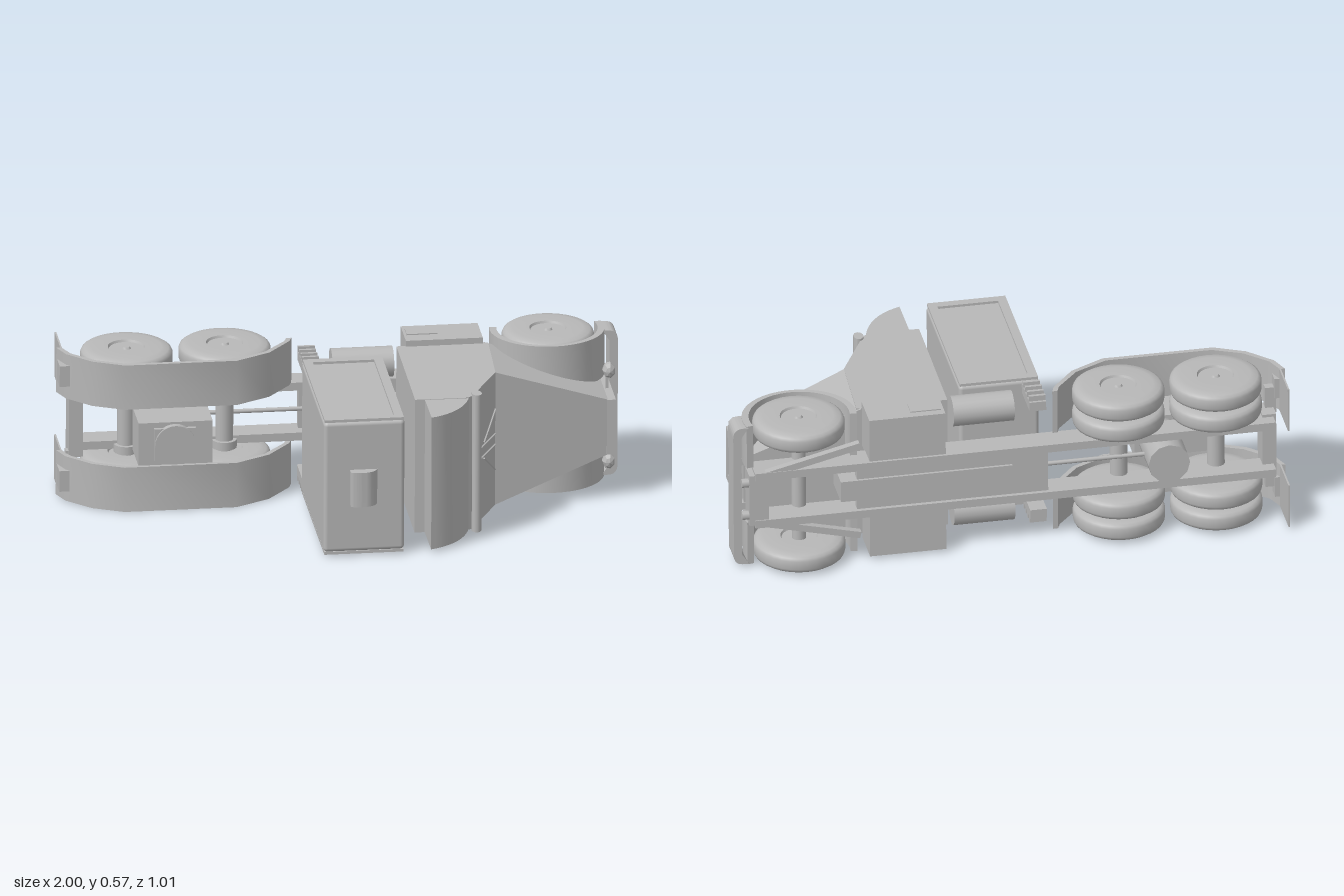
import * as THREE from 'three';
import { toCreasedNormals } from 'three/addons/utils/BufferGeometryUtils.js';
import { RoundedBoxGeometry } from 'three/addons/geometries/RoundedBoxGeometry.js';

const grey = new THREE.MeshStandardMaterial({ color: 0xb8b8b8 });
grey.name = 'plain grey';

// The truck is built upright (x forward, y up, z to its right) around axle height.
export function createModel() {
  const root = new THREE.Group();
  const truck = new THREE.Group();
  truck.name = 'truckOnItsSide';
  root.add(truck);

  const add = (name, geo, x = 0, y = 0, z = 0) => {
    const m = new THREE.Mesh(geo, grey);
    m.name = name;
    m.position.set(x, y, z);
    truck.add(m);
    return m;
  };
  // box from its limits
  const box = (name, x0, x1, y0, y1, z0, z1) => add(name,
    new THREE.BoxGeometry(x1 - x0, y1 - y0, z1 - z0), (x0 + x1) / 2, (y0 + y1) / 2, (z0 + z1) / 2);
  // cylinder along a chosen axis
  const rod = (name, axis, r, len, x, y, z, sides = 16) => {
    const g = new THREE.CylinderGeometry(r, r, len, sides);
    if (axis === 'x') g.rotateZ(Math.PI / 2);
    if (axis === 'z') g.rotateX(Math.PI / 2);
    return add(name, g, x, y, z);
  };
  // side profile extruded across the truck
  const shapeOf = pts => new THREE.Shape(pts.map(p => new THREE.Vector2(p[0], p[1])));
  const slab = (name, shape, z0, z1) => add(name, toCreasedNormals(
    new THREE.ExtrudeGeometry(shape, { depth: z1 - z0, bevelEnabled: false }), 0.5), 0, 0, z0);
  const bar = (name, a, b, t) => {
    const p = new THREE.Vector3(...a), q = new THREE.Vector3(...b);
    const m = add(name, new THREE.BoxGeometry(t, t, p.distanceTo(q)));
    m.position.copy(p).add(q).multiplyScalar(0.5);
    m.quaternion.setFromUnitVectors(new THREE.Vector3(0, 0, 1), q.sub(p).normalize());
  };
  const rect = (x0, x1, y0, y1) => [[x0, y0], [x1, y0], [x1, y1], [x0, y1]];

  // Wheels with a nearly flat face and a shallow hub
  const half = [[0.164, 0.016], [0.16, 0.026], [0.15, 0.033], [0.125, 0.037], [0.066, 0.037],
    [0.062, 0.029], [0.016, 0.029], [0.012, 0.036], [0, 0.036]];
  const profile = [...half.slice().reverse().map(p => [p[0], -p[1]]), ...half];
  const wheelGeo = toCreasedNormals(new THREE.LatheGeometry(
    profile.map(p => new THREE.Vector2(...p)), 32).rotateX(Math.PI / 2), 0.6);
  for (const s of [-1, 1]) {
    add('frontWheel', wheelGeo, 0.755, 0, s * 0.242);
    for (const x of [-0.751, -0.4]) {
      add('outerRearWheel', wheelGeo, x, 0, s * 0.24);
      add('innerRearWheel', wheelGeo, x, 0, s * 0.156);
      rod('axleFlange', 'z', 0.045, 0.03, x, 0, s * 0.105);
    }
  }

  // Axles, differential and drive shaft
  for (const x of [-0.751, -0.4]) rod('rearAxle', 'z', 0.032, 0.44, x, 0, 0);
  rod('differential', 'y', 0.075, 0.22, -0.56, -0.01, 0, 12);
  rod('frontAxle', 'z', 0.026, 0.44, 0.755, 0, 0);
  rod('driveShaft', 'x', 0.008, 0.5, -0.25, -0.03, 0, 10);
  box('transmission', 0, 0.62, -0.09, 0.05, -0.04, 0.04);

  // Chassis
  box('rearCrossBeam', -0.96, -0.91, -0.05, 0.04, -0.12, 0.12);
  box('frontCrossBeam', 0.88, 0.95, -0.09, -0.01, -0.1, 0.1);
  box('chassisFloor', -0.13, 0.56, -0.08, -0.045, -0.1, 0.1);
  for (const s of [-1, 1]) {
    const side = (name, x0, x1, y0, y1, a, b) => box(name, x0, x1, y0, y1, Math.min(s * a, s * b), Math.max(s * a, s * b));
    side('frameRail', -0.95, 0.93, -0.095, 0.0, 0.08, 0.11);
    side('stepBox', 0.24, 0.515, -0.085, 0.06, 0.1, 0.274);
    side('stepPlate', 0.25, 0.36, -0.055, 0.005, 0.274, 0.278);
    rod('airTank', 'x', 0.055, 0.22, 0.082, 0.06, s * 0.2, 20);
    bar('frontStrut', [0.55, -0.08, s * 0.18], [0.92, -0.08, s * 0.09], 0.025);
    rod('towHook', 'x', 0.017, 0.05, 0.95, -0.07, s * 0.065, 8);

    // Ladder between fender and tank
    side('ladderBack', -0.14, -0.08, 0, 0.145, 0.2, 0.235);
    for (let i = 0; i < 4; i++) side('ladderRung', -0.14, -0.08, 0.01 + i * 0.035, 0.022 + i * 0.035, 0.235, 0.255);

    // Rear fender arched over both wheels
    const arch = [[-1, -0.012], [-0.974, 0.055], [-0.89, 0.14], [-0.78, 0.192], [-0.38, 0.192],
      [-0.256, 0.125], [-0.171, 0.021], [-0.16, -0.01]];
    const inner = arch.map(([x, y]) => [-0.58 + (x + 0.58) * 0.955, y * 0.91]).reverse();
    const z0 = s > 0 ? 0.11 : -0.278;
    slab('rearFender', shapeOf([...arch, ...inner]), z0, z0 + 0.168);
    side('mudFlap', -0.986, -0.98, -0.165, 0, 0.11, 0.278);
    side('tailLight', -0.998, -0.962, -0.01, 0.07, 0.16, 0.238);
    side('tailLightBracket', -0.97, -0.93, 0.0, 0.03, 0.1, 0.2);

    // Front fender around the wheel
    const ring = new THREE.Shape();
    ring.absellipse(0.752, 0, 0.205, 0.188, -0.25, Math.PI + 0.15, false);
    ring.absellipse(0.752, 0, 0.18, 0.172, Math.PI + 0.15, -0.25, true);
    slab('frontFender', ring, z0, z0 + 0.168);

    // Faceted headlight on a stalk
    bar('headlightStalk', [0.945, 0.165, s * 0.1], [0.945, 0.165, s * 0.17], 0.01);
    const lamp = add('headlight', toCreasedNormals(new THREE.SphereGeometry(0.03, 7, 5), 0.1), 0.952, 0.165, s * 0.172);
    lamp.scale.x = 0.8;

    // Wipers lying on the windscreen
    bar('wiper', [0.522, 0.352, s * 0.02], [0.458, 0.478, s * 0.02], 0.005);
    bar('wiper', [0.522, 0.352, s * 0.115], [0.468, 0.458, s * 0.03], 0.005);
  }

  // Fifth wheel coupling
  box('couplingBlock', -0.74, -0.475, 0.09, 0.255, -0.08, 0.08);
  box('couplingPlate', -0.685, -0.535, 0.25, 0.268, -0.06, 0.06);
  rod('couplingDisc', 'y', 0.073, 0.03, -0.61, 0.262, 0, 28);

  // Tall sleeper box with framed sides and a rounded roof hatch
  add('sleeperBox', new RoundedBoxGeometry(0.289, 0.612, 0.492, 3, 0.015), 0.0015, 0.452, 0);
  const frame = shapeOf(rect(-0.14, 0.143, 0.148, 0.754));
  frame.holes.push(new THREE.Path(rect(-0.108, 0.111, 0.18, 0.722).map(p => new THREE.Vector2(...p))));
  for (const z of [-0.255, 0.245]) slab('sleeperFrame', frame, z, z + 0.01);
  const hatch = new THREE.Shape();
  hatch.moveTo(-0.05, 0.75);
  hatch.lineTo(0.05, 0.75);
  hatch.quadraticCurveTo(0.04, 0.794, -0.01, 0.794);
  hatch.quadraticCurveTo(-0.04, 0.794, -0.05, 0.785);
  slab('roofHatch', hatch, -0.065, 0.065);

  // Cab with a curved roof fairing
  slab('cab', shapeOf([[0.207, 0.052], [0.535, 0.052], [0.5226, 0.3475], [0.41, 0.57],
    [0.385, 0.585], [0.205, 0.582]]), -0.252, 0.252);
  const fairing = new THREE.Shape();
  fairing.moveTo(0.24, 0.57);
  fairing.lineTo(0.4, 0.57);
  fairing.quadraticCurveTo(0.365, 0.715, 0.241, 0.759);
  slab('roofFairing', fairing, -0.25, 0.25);
  const visor = rod('sunVisor', 'z', 0.026, 0.52, 0.428, 0.562, 0, 10);
  visor.scale.x = 0.7;

  // Hood tapering toward the grille
  const hood = new THREE.BoxGeometry(1, 1, 1);
  const p = hood.attributes.position;
  for (let i = 0; i < p.count; i++) {
    const nose = p.getX(i) > 0, top = p.getY(i) > 0;
    p.setXYZ(i, nose ? 0.945 : 0.52, top ? (nose ? 0.28 : 0.348) : 0.045,
      Math.sign(p.getZ(i)) * (nose ? 0.1 : 0.252));
  }
  hood.computeVertexNormals();
  add('hood', hood);
  // Grille surround
  for (const s of [-1, 1]) box('grilleSide', 0.93, 0.962, 0.04, 0.285, s * 0.09 - 0.014, s * 0.09 + 0.014);
  box('grilleTop', 0.93, 0.962, 0.255, 0.285, -0.104, 0.104);

  // Bumper: a bar with ends curving back, drawn in plan and stood upright
  const plan = new THREE.Shape();
  plan.moveTo(0.945, -0.274);
  plan.lineTo(0.965, -0.274);
  plan.quadraticCurveTo(1.0, -0.274, 1.0, -0.235);
  plan.lineTo(1.0, 0.235);
  plan.quadraticCurveTo(1.0, 0.274, 0.965, 0.274);
  plan.lineTo(0.945, 0.274);
  plan.lineTo(0.97, 0.235);
  plan.lineTo(0.97, -0.235);
  const bumper = new THREE.ExtrudeGeometry(plan, { depth: 0.094, bevelEnabled: false }).rotateX(Math.PI / 2);
  add('bumper', toCreasedNormals(bumper, 0.5), 0, 0.044, 0);

  // Lay the truck on its left side with a slight tilt
  const up = new THREE.Vector3(0.052, -0.028, 1).normalize();
  const right = new THREE.Vector3(1, 0, -0.052).cross(up).normalize();
  const forward = new THREE.Vector3().crossVectors(up, right);
  truck.quaternion.setFromRotationMatrix(new THREE.Matrix4().makeBasis(forward, up, right));
  truck.position.set(0, 0.285, -0.29);
  return root;
}
